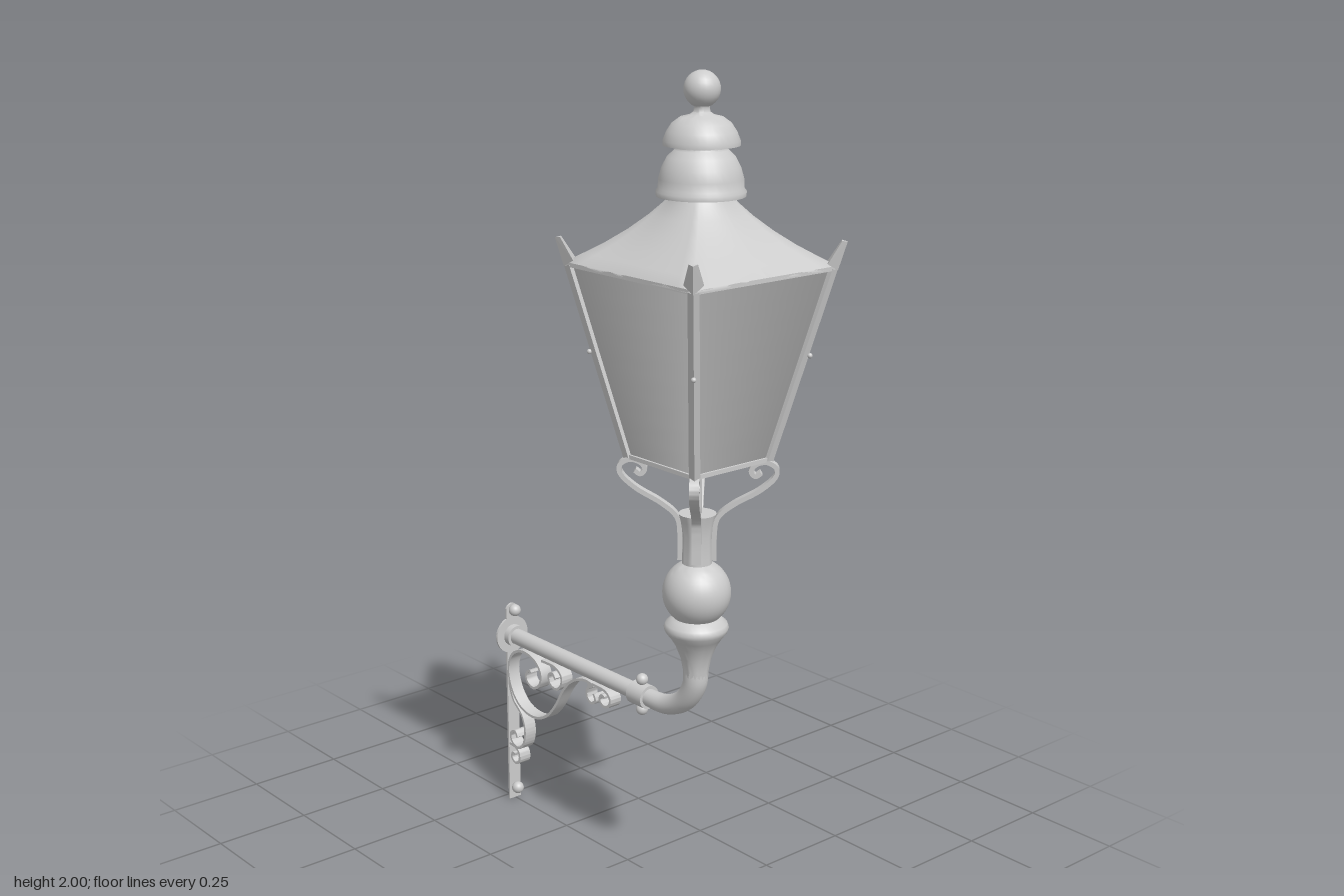
import * as THREE from 'three';
import { toCreasedNormals } from 'three/addons/utils/BufferGeometryUtils.js';
import { ConvexGeometry } from 'three/addons/geometries/ConvexGeometry.js';

const V2 = (p) => new THREE.Vector2(p[0], p[1]);
const V3 = (x, y, z) => new THREE.Vector3(x, y, z);

export function createModel() {
  const model = new THREE.Group();
  const metal = new THREE.MeshStandardMaterial({ color: 0xcccccc, side: THREE.DoubleSide });
  metal.name = 'pale grey';

  const add = (parent, name, geo, x = 0, y = 0, z = 0) => {
    const m = new THREE.Mesh(geo, metal);
    m.name = name;
    m.position.set(x, y, z);
    parent.add(m);
    return m;
  };
  const lathe = (pts, crease = 0.8, seg = 32) =>
    toCreasedNormals(new THREE.LatheGeometry(pts.map(V2), seg), crease);
  const ball = (parent, name, r, x, y, z) =>
    add(parent, name, new THREE.SphereGeometry(r, 24, 16), x, y, z);
  // Square bar between two points, in its parent's own space
  const bar = (parent, name, a, b, w) => {
    const m = add(parent, name, new THREE.BoxGeometry(w, w, a.distanceTo(b)));
    m.position.copy(a).add(b).multiplyScalar(0.5);
    m.quaternion.setFromRotationMatrix(new THREE.Matrix4().lookAt(b, a, V3(1, 0, 0)));
    return m;
  };
  // Flat iron strip following a plane curve
  const ribbon = (pts, thick, width, n = 60) => {
    const curve = new THREE.SplineCurve(pts.map(V2));
    const left = [], right = [];
    for (let i = 0; i <= n; i++) {
      const p = curve.getPoint(i / n), t = curve.getTangent(i / n);
      const o = new THREE.Vector2(-t.y, t.x).multiplyScalar(thick / 2);
      left.push(p.clone().add(o));
      right.unshift(p.clone().sub(o));
    }
    const geo = new THREE.ExtrudeGeometry(new THREE.Shape([...left, ...right]),
      { depth: width, bevelEnabled: false });
    geo.translate(0, 0, -width / 2);
    return toCreasedNormals(geo, 0.7);
  };

  // ---- Lantern, around its own upright axis ----
  const lantern = new THREE.Group();
  lantern.name = 'lantern';
  lantern.position.z = 0.25;
  model.add(lantern);

  add(lantern, 'chimneyCap', lathe([
    [0.06, 1.70], [0.06, 1.727], [0.1, 1.727], [0.101, 1.738], [0.096, 1.745], [0.095, 1.765],
    [0.088, 1.79], [0.076, 1.813], [0.06, 1.828], [0.056, 1.832], [0.056, 1.838],
    [0.086, 1.838], [0.086, 1.848], [0.078, 1.868], [0.066, 1.886], [0.048, 1.899],
    [0.028, 1.904], [0.019, 1.91], [0.017, 1.92], [0.022, 1.93]]));
  ball(lantern, 'finialBall', 0.041, 0, 1.959, 0);

  // Roof: round at the top, blending into a square eave
  const roof = new THREE.LatheGeometry([[0.215, 1.567], [0.215, 1.575], [0.19, 1.595],
    [0.158, 1.621], [0.125, 1.652], [0.095, 1.685], [0.075, 1.712], [0.066, 1.732]].map(V2), 48);
  const rp = roof.attributes.position;
  for (let i = 0; i < rp.count; i++) {
    const x = rp.getX(i), z = rp.getZ(i), r = Math.hypot(x, z);
    const square = r / Math.max(Math.abs(x), Math.abs(z));
    const t = Math.min(1, Math.max(0, (1.725 - rp.getY(i)) / 0.15));
    const k = 1 + (square - 1) * Math.sqrt(t);
    rp.setXYZ(i, x * k, rp.getY(i), z * k);
  }
  roof.computeVertexNormals();
  add(lantern, 'roof', roof);

  // Tapered panes with soft shading around the corners
  const panes = new THREE.CylinderGeometry(0.205 * Math.SQRT2, 0.112 * Math.SQRT2, 0.445, 4, 8, true);
  panes.rotateY(Math.PI / 4);
  add(lantern, 'panes', panes, 0, 1.347, 0);

  // Frame, horns and curled supports, repeated on four sides
  for (let k = 0; k < 4; k++) {
    const side = new THREE.Group();
    side.name = 'lanternSide';
    side.rotation.y = k * Math.PI / 2;
    lantern.add(side);
    bar(side, 'cornerPost', V3(0.113, 1.124, 0.113), V3(0.207, 1.57, 0.207), 0.018);
    add(side, 'eaveRail', new THREE.BoxGeometry(0.43, 0.01, 0.012), 0, 1.57, 0.209);
    add(side, 'baseRail', new THREE.BoxGeometry(0.238, 0.01, 0.03), 0, 1.126, 0.104);
    ball(side, 'rivet', 0.006, 0.176, 1.37, 0.176);
    add(side, 'cornerHorn', new ConvexGeometry([
      V3(0.23, 1.63, 0.23), V3(0.228, 1.632, 0.214), V3(0.214, 1.632, 0.228), V3(0.216, 1.565, 0.216),
      V3(0.184, 1.582, 0.215), V3(0.215, 1.582, 0.184), V3(0.203, 1.59, 0.203)]));
    const support = add(side, 'curledSupport', ribbon([
      [0.04, 0.88], [0.04, 0.94], [0.048, 0.985], [0.085, 1.018], [0.14, 1.05], [0.176, 1.082],
      [0.18, 1.106], [0.158, 1.12], [0.133, 1.114], [0.122, 1.098], [0.132, 1.086], [0.145, 1.094]],
      0.011, 0.022));
    support.rotation.y = -Math.PI / 4;
  }
  add(lantern, 'baseCrossBar', new THREE.BoxGeometry(0.2, 0.008, 0.035), 0, 1.126, 0);
  add(lantern, 'centreRod', new THREE.CylinderGeometry(0.01, 0.01, 0.16, 16), 0, 1.05, 0);

  // Turned stem below the lantern
  const stem = [[0.029, 0.575], [0.031, 0.605], [0.037, 0.635], [0.049, 0.665], [0.061, 0.685],
    [0.074, 0.702], [0.077, 0.712], [0.073, 0.722], [0.06, 0.733]];
  for (let i = 0; i <= 14; i++) {
    const a = -0.85 + i * (0.85 + 1.12) / 14;
    stem.push([0.081 * Math.cos(a), 0.798 + 0.081 * Math.sin(a)]);
  }
  stem.push([0.035, 0.885], [0.034, 0.94], [0.04, 0.975], [0.044, 0.992], [0.0, 0.992]);
  add(lantern, 'turnedStem', lathe(stem, 0.75));

  // ---- Bracket arm ----
  const path = new THREE.CatmullRomCurve3([V3(0, 0.61, 0.25), V3(0, 0.565, 0.247),
    V3(0, 0.515, 0.215), V3(0, 0.48, 0.15), V3(0, 0.475, 0.05)]);
  const elbow = new THREE.TubeGeometry(path, 32, 1, 20);
  const ep = elbow.attributes.position;
  for (let i = 0; i < ep.count; i++) {
    const t = Math.floor(i / 21) / 32, c = path.getPointAt(t);
    const p = V3(0, 0, 0).fromBufferAttribute(ep, i).sub(c).multiplyScalar(0.031 - 0.01 * t).add(c);
    ep.setXYZ(i, p.x, p.y, p.z);
  }
  add(model, 'elbow', elbow);

  const alongZ = (name, r, len, z) =>
    add(model, name, new THREE.CylinderGeometry(r, r, len, 28).rotateX(Math.PI / 2), 0, 0.475, z);
  alongZ('arm', 0.021, 0.53, -0.205);
  alongZ('armCollar', 0.03, 0.054, 0.055);
  alongZ('armFlange', 0.029, 0.018, -0.463);
  for (const y of [0.515, 0.436]) ball(model, 'collarScrew', 0.015, 0, y, 0.055);

  // ---- Wall plate ----
  const plate = new THREE.Shape();
  plate.moveTo(-0.018, 0);
  plate.lineTo(0.018, 0);
  plate.lineTo(0.018, 0.428);
  plate.absarc(0, 0.475, 0.05, -1.2, 1.2, false);
  plate.lineTo(0.018, 0.55);
  plate.quadraticCurveTo(0.012, 0.563, 0, 0.563);
  plate.quadraticCurveTo(-0.012, 0.563, -0.018, 0.55);
  plate.absarc(0, 0.475, 0.05, Math.PI - 1.2, Math.PI + 1.2, false);
  plate.lineTo(-0.018, 0);
  add(model, 'wallPlate', new THREE.ExtrudeGeometry(plate, { depth: 0.006, bevelEnabled: false }), 0, 0, -0.48);
  for (const y of [0.547, 0.033]) ball(model, 'plateScrew', 0.016, 0, y, -0.462);

  // ---- Scrollwork under the arm, points as [z, y] ----
  const scrolls = {
    mainScroll: [[-0.115, 0.425], [-0.108, 0.408], [-0.125, 0.397], [-0.141, 0.41], [-0.139, 0.432],
      [-0.118, 0.447], [-0.155, 0.45], [-0.2, 0.433], [-0.237, 0.396], [-0.275, 0.336], [-0.315, 0.295],
      [-0.365, 0.277], [-0.42, 0.287], [-0.458, 0.325], [-0.473, 0.38], [-0.455, 0.428], [-0.41, 0.449],
      [-0.36, 0.44], [-0.333, 0.41], [-0.34, 0.375], [-0.368, 0.36], [-0.393, 0.373], [-0.393, 0.396], [-0.375, 0.404]],
    tipCurl: [[-0.12, 0.45], [-0.07, 0.447], [-0.05, 0.43], [-0.056, 0.41], [-0.075, 0.404],
      [-0.09, 0.416], [-0.084, 0.431], [-0.071, 0.428]],
    middleCurl: [[-0.33, 0.448], [-0.275, 0.448], [-0.248, 0.432], [-0.247, 0.407], [-0.266, 0.388],
      [-0.292, 0.394], [-0.299, 0.416], [-0.283, 0.427], [-0.272, 0.415]],
    lowerScroll: [[-0.473, 0.35], [-0.455, 0.3], [-0.42, 0.267], [-0.404, 0.225], [-0.412, 0.183],
      [-0.436, 0.164], [-0.462, 0.173], [-0.467, 0.196], [-0.449, 0.207], [-0.439, 0.193]],
    footCurl: [[-0.473, 0.165], [-0.448, 0.162], [-0.432, 0.148], [-0.432, 0.126], [-0.449, 0.116],
      [-0.464, 0.126], [-0.461, 0.14], [-0.451, 0.14]],
  };
  for (const [name, pts] of Object.entries(scrolls)) {
    add(model, name, ribbon(pts, 0.007, 0.034, 110)).rotation.y = -Math.PI / 2;
  }
  return model;
}
